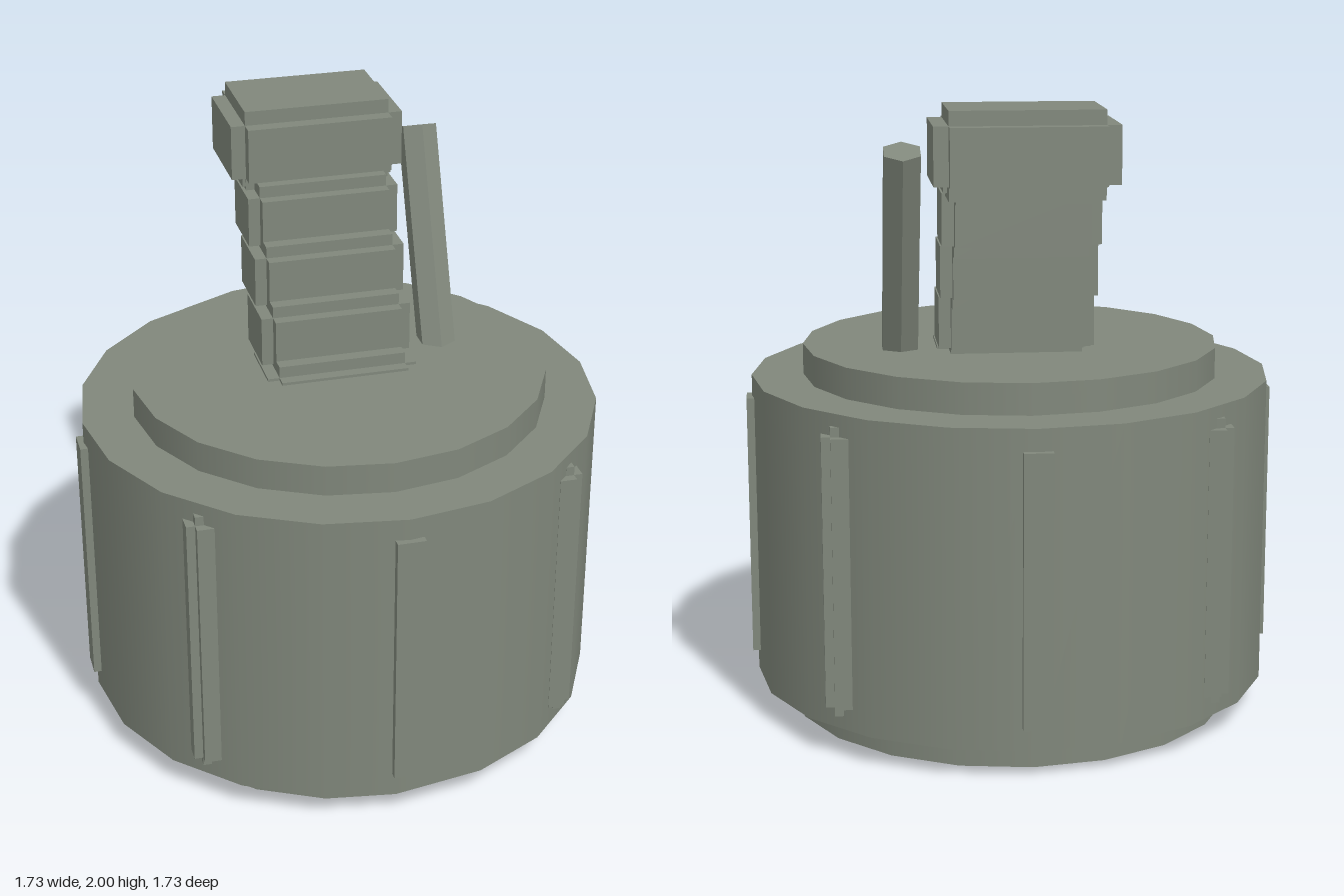
import * as THREE from 'three';

const color = 0x80877b;
const material = new THREE.MeshStandardMaterial({ color });
const flatMaterial = new THREE.MeshStandardMaterial({ color, flatShading: true });

function add(parent, name, geometry, mat = material) {
  const mesh = new THREE.Mesh(geometry, mat);
  mesh.name = name;
  parent.add(mesh);
  return mesh;
}

// Box given by its lower and upper corners
function box(parent, name, [x0, y0, z0], [x1, y1, z1]) {
  const mesh = add(parent, name, new THREE.BoxGeometry(x1 - x0, y1 - y0, z1 - z0));
  mesh.position.set((x0 + x1) / 2, (y0 + y1) / 2, (z0 + z1) / 2);
}

// Upright 20-sided drum
function drum(parent, name, radius, y0, y1) {
  add(parent, name, new THREE.CylinderGeometry(radius, radius, y1 - y0, 20)).position.y = (y0 + y1) / 2;
}

// Block with stepped edges: three crossed boxes, s is the step size
function steppedBlock(parent, name, halfX, y0, y1, z0, z1, s) {
  const block = new THREE.Group();
  block.name = name;
  parent.add(block);
  box(block, 'wideBox', [-halfX, y0 + s, z0 + s], [halfX, y1 - s, z1 - s]);
  box(block, 'deepBox', [-halfX + s, y0 + s, z0], [halfX - s, y1 - s, z1]);
  box(block, 'tallBox', [-halfX + s, y0, z0 + s], [halfX - s, y1, z1 - s]);
}

export function createModel() {
  const model = new THREE.Group();
  model.name = 'model';

  // Stacked drums
  drum(model, 'baseDrum', 0.732, 0, 0.1);
  drum(model, 'bodyDrum', 0.845, 0.097, 1.1);
  drum(model, 'topDrum', 0.677, 1.097, 1.2);

  // Ribs around the body: plain on the axes, stepped on the diagonals
  for (let i = 0; i < 4; i++) {
    const ribs = new THREE.Group();
    ribs.name = 'ribPair';
    ribs.rotation.y = (i * Math.PI) / 2;
    model.add(ribs);
    box(ribs, 'straightRib', [-0.045, 0.17, 0.78], [0.045, 1.03, 0.863]);
    box(ribs, 'diagonalRibSide', [0.55, 0.17, 0.55], [0.632, 1.03, 0.604]);
    box(ribs, 'diagonalRibFront', [0.55, 0.17, 0.55], [0.604, 1.03, 0.632]);
    box(ribs, 'diagonalRibCore', [0.577, 0.14, 0.577], [0.604, 1.06, 0.604]);
  }

  // Leaning neck of stepped blocks, with a larger head
  const neck = new THREE.Group();
  neck.name = 'neck';
  model.add(neck);
  for (let i = 0; i < 5; i++) {
    const y = 1.127 + 0.175 * i;
    const z = -0.039 - 0.081 * i;
    steppedBlock(neck, 'neckBlock', 0.248, y - 0.12, y + 0.12, z - 0.139, z + 0.139, 0.038);
  }
  steppedBlock(model, 'head', 0.283, 1.728, 2, -0.597, -0.211, 0.046);

  // Hexagonal rod leaning back beside the neck
  const foot = new THREE.Vector3(0.366, 1.1, -0.066);
  const tip = new THREE.Vector3(0.366, 1.861, -0.362);
  const axis = tip.clone().sub(foot);
  const rod = add(model, 'rod', new THREE.CylinderGeometry(0.065, 0.065, axis.length(), 6), flatMaterial);
  rod.position.copy(foot).add(tip).multiplyScalar(0.5);
  rod.rotation.x = Math.atan2(axis.z, axis.y);

  return model;
}
